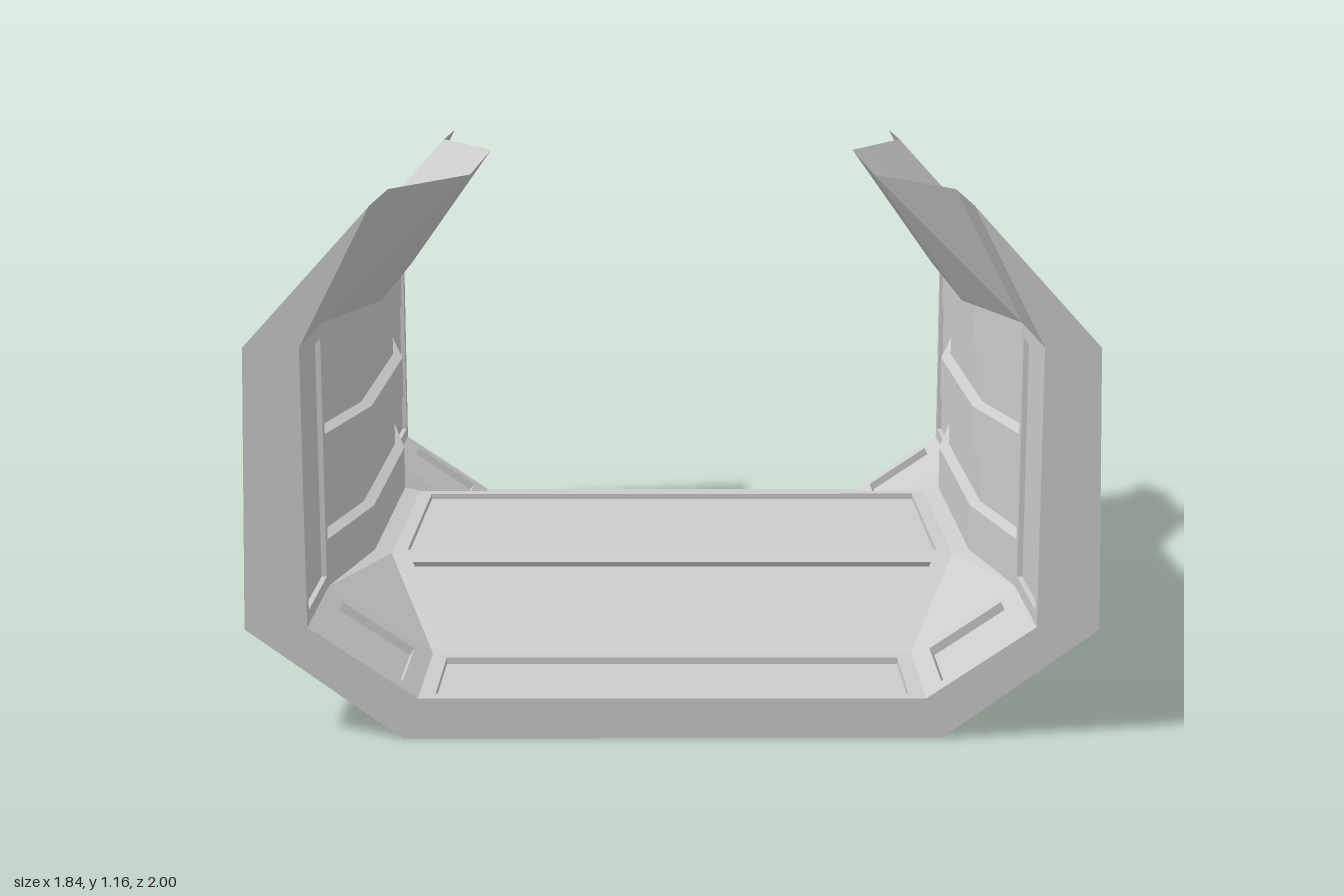
import * as THREE from 'three';

// z stations of the hull; the two middle ones use the pinched section
const Z = [1, 0.667, 0.333, -0.333, -0.667, -1];
const isMid = (k) => k === 2 || k === 3;

// half sections (+x side), listed from the roof tip down to the floor
const OUTER = {
  end: [[0.63, 1.16], [0.905, 0.86], [0.92, 0.245], [0.585, 0]],
  mid: [[0.475, 1.16], [0.755, 0.86], [0.77, 0.245], [0.585, 0.17]],
};
const INNER = {
  end: [[0.63, 1.16], [0.785, 0.86], [0.785, 0.25], [0.55, 0.09]],
  mid: [[0.475, 1.16], [0.69, 0.86], [0.72, 0.25], [0.68, 0.24]],
};
const section = (table, k) => (isMid(k) ? table.mid : table.end);

// ribbed wall section: three ribs with two bevelled grooves between them
function ribProfile(roofX, x, depth) {
  const g = x + depth;
  return [[roofX, 0.86], [x, 0.86], [x, 0.745], [g, 0.735], [g, 0.615], [x, 0.605],
    [x, 0.5], [g, 0.49], [g, 0.37], [x, 0.36], [x, 0.25]];
}

const material = new THREE.MeshStandardMaterial({
  color: 0xcccccc, flatShading: true, side: THREE.DoubleSide,
});

const at = (p, z) => new THREE.Vector3(p[0], p[1], z);
const flip = (p) => [-p[0], p[1]];

// collects quads; side = -1 mirrors them in x
class Builder {
  constructor(side = 1) {
    this.side = side;
    this.pos = [];
  }

  quad(a, b, c, d) {
    const order = this.side > 0 ? [a, b, c, a, c, d] : [a, c, b, a, d, c];
    for (const v of order) this.pos.push(v.x * this.side, v.y, v.z);
  }

  // quad with a sunken centre
  panel(a, b, c, d, border, depth) {
    const u = border / a.distanceTo(b);
    const v = border / a.distanceTo(d);
    const point = (s, t) => a.clone().lerp(b, s).lerp(d.clone().lerp(c, s), t);
    const outer = [a, b, c, d];
    const rim = [point(u, v), point(1 - u, v), point(1 - u, 1 - v), point(u, 1 - v)];
    const n = b.clone().sub(a).cross(d.clone().sub(a)).normalize();
    const low = rim.map((p) => p.clone().addScaledVector(n, -depth));
    for (let i = 0; i < 4; i++) {
      const j = (i + 1) % 4;
      this.quad(outer[i], outer[j], rim[j], rim[i]);
      this.quad(rim[i], rim[j], low[j], low[i]);
    }
    this.quad(...low);
  }

  // strip of quads between two profiles; inward faces look to the axis
  strip(p, z0, q, z1, inward) {
    for (let i = 0; i < p.length - 1; i++) {
      const c = [at(p[i], z0), at(p[i + 1], z0), at(q[i + 1], z1), at(q[i], z1)];
      this.quad(...(inward ? c.reverse() : c));
    }
  }

  mesh(name) {
    const g = new THREE.BufferGeometry();
    g.setAttribute('position', new THREE.Float32BufferAttribute(this.pos, 3));
    g.computeVertexNormals();
    const m = new THREE.Mesh(g, material);
    m.name = name;
    return m;
  }
}

function buildSide(side) {
  const group = new THREE.Group();
  group.name = side > 0 ? 'leftSide' : 'rightSide';
  const shell = new Builder(side);
  const lining = new Builder(side);
  const ribs = new Builder(side);
  const rim = new Builder(side);

  for (let k = 0; k < Z.length - 1; k++) {
    const [z0, z1] = [Z[k], Z[k + 1]];
    const [p, q] = [section(INNER, k), section(INNER, k + 1)];
    const endBay = k === 0 || k === 4;
    shell.strip(section(OUTER, k), z0, section(OUTER, k + 1), z1, false);

    // sloped roof lining, then lower chamfer
    lining.strip(p.slice(0, 2), z0, q.slice(0, 2), z1, true);
    const cell = (i) => [at(p[i], z1 === z0 ? z1 : z0), at(q[i], z1), at(q[i + 1], z1), at(p[i + 1], z0)];
    if (endBay) {
      lining.panel(...cell(1), 0.03, 0.012);
      lining.panel(...cell(2), 0.045, 0.02);
    } else {
      lining.quad(...cell(2));
    }
  }

  // ribbed wall; the doubled end stations close the groove ends
  const endFlat = ribProfile(0.785, 0.785, 0);
  const endRib = ribProfile(0.785, 0.785, 0.025);
  const midRib = ribProfile(0.69, 0.72, 0.025);
  const stations = [[endFlat, Z[1]], [endRib, Z[1]], [midRib, Z[2]],
    [midRib, Z[3]], [endRib, Z[4]], [endFlat, Z[4]]];
  for (let i = 0; i < stations.length - 1; i++) {
    ribs.strip(...stations[i], ...stations[i + 1], true);
  }

  // end faces
  for (const z of [1, -1]) {
    const [a, b] = z > 0 ? [INNER.end, OUTER.end] : [OUTER.end, INNER.end];
    rim.strip(a, z, b, z, false);
    for (let i = 0; i < 0; i++) rim.quad(a[i], a[i], b[i], b[i]);
  }

  group.add(shell.mesh('outerShell'), lining.mesh('innerLining'),
    ribs.mesh('ribbedWall'), rim.mesh('endRim'));
  return group;
}

function buildFloor() {
  const group = new THREE.Group();
  group.name = 'floor';
  const top = new Builder();
  const under = new Builder();
  const rim = new Builder();
  for (let k = 0; k < Z.length - 1; k++) {
    const [z0, z1] = [Z[k], Z[k + 1]];
    const [p, q] = [section(INNER, k)[3], section(INNER, k + 1)[3]];
    top.panel(at(flip(p), z0), at(p, z0), at(q, z1), at(flip(q), z1), 0.035, 0.015);
    const [r, s] = [section(OUTER, k)[3], section(OUTER, k + 1)[3]];
    under.quad(at(r, z0), at(flip(r), z0), at(flip(s), z1), at(s, z1));
  }
  // end faces
  const [i, o] = [INNER.end[3], OUTER.end[3]];
  rim.quad(at(flip(o), 1), at(o, 1), at(i, 1), at(flip(i), 1));
  rim.quad(at(o, -1), at(flip(o), -1), at(flip(i), -1), at(i, -1));
  group.add(top.mesh('floorPanels'), under.mesh('underside'), rim.mesh('floorEndRim'));
  return group;
}

export function createModel() {
  const model = new THREE.Group();
  model.name = 'corridorSegment';
  model.add(buildSide(1), buildSide(-1), buildFloor());
  return model;
}
